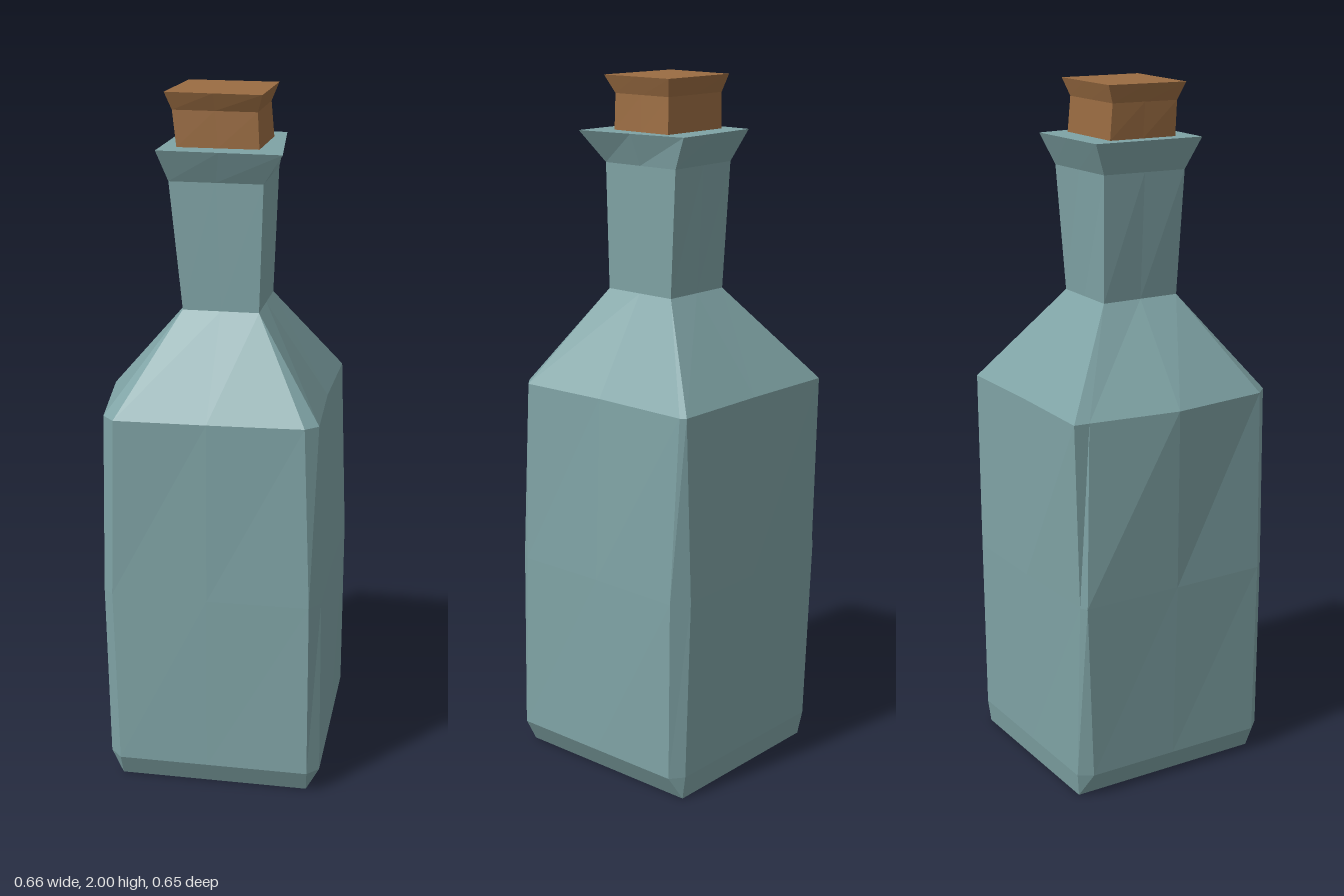
import * as THREE from 'three';

// Square section: each corner doubled, plus the middle of each side (12 points)
function square(corners) {
  return corners.flatMap((c, i) => {
    const n = corners[(i + 1) % 4];
    return [c, c, [(c[0] + n[0]) / 2, (c[1] + n[1]) / 2]];
  });
}

// Joins stacked sections [y, [[x, z], ...]] into a closed, faceted solid.
// Sections run back left, back right, front right, front left.
function loft(sections) {
  const rings = sections.map(([y, pts]) => pts.map(([x, z]) => new THREE.Vector3(x, y, z)));
  const positions = [];
  const tri = (a, b, c) => {
    const area = b.clone().sub(a).cross(c.clone().sub(a)).length();
    if (area > 1e-7) for (const p of [a, b, c]) positions.push(p.x, p.y, p.z);
  };
  const middle = (ring) => ring.reduce((s, p) => s.add(p), new THREE.Vector3()).divideScalar(ring.length);
  const bottom = rings[0], top = rings[rings.length - 1];
  const n = bottom.length, low = middle(bottom), high = middle(top);
  for (let i = 0; i < n; i++) {
    const j = (i + 1) % n;
    for (let r = 0; r + 1 < rings.length; r++) {
      const l = rings[r], u = rings[r + 1];
      tri(l[j], l[i], u[i]);
      tri(l[j], u[i], u[j]);
    }
    tri(low, bottom[i], bottom[j]);
    tri(high, top[j], top[i]);
  }
  const geometry = new THREE.BufferGeometry();
  geometry.setAttribute('position', new THREE.Float32BufferAttribute(positions, 3));
  geometry.computeVertexNormals();
  return geometry;
}

export function createModel() {
  const model = new THREE.Group();
  model.name = 'corkedBottle';

  const addPart = (name, color, sections) => {
    const material = new THREE.MeshStandardMaterial({ color, flatShading: true });
    const mesh = new THREE.Mesh(loft(sections), material);
    mesh.name = name;
    model.add(mesh);
  };

  // Bottle: uneven body with cut corners, sloping shoulder, neck and flared lip
  addPart('glassBottle', 0x7fa3a5, [
    [0, square([[-0.26, -0.3], [0.29, -0.3], [0.29, 0.29], [-0.26, 0.29]])],
    [0.07, [
      [-0.295, -0.27], [-0.27, -0.31], [0, -0.31],
      [0.29, -0.31], [0.328, -0.28], [0.328, 0],
      [0.328, 0.288], [0.295, 0.323], [0, 0.323],
      [-0.26, 0.323], [-0.295, 0.285], [-0.295, 0],
    ]],
    [0.6, [
      [-0.316, -0.3], [-0.295, -0.312], [0, -0.32],
      [0.28, -0.32], [0.328, -0.285], [0.32, 0],
      [0.322, 0.275], [0.292, 0.316], [0, 0.32],
      [-0.275, 0.316], [-0.305, 0.285], [-0.312, 0],
    ]],
    [1.13, [
      [-0.297, -0.28], [-0.293, -0.325], [0, -0.316],
      [0.295, -0.316], [0.306, -0.3], [0.297, 0],
      [0.306, 0.27], [0.27, 0.302], [0, 0.315],
      [-0.26, 0.322], [-0.295, 0.285], [-0.33, -0.01],
    ]],
    [1.4, square([[-0.1, -0.115], [0.12, -0.11], [0.115, 0.125], [-0.1, 0.125]])],
    [1.76, square([[-0.12, -0.125], [0.13, -0.135], [0.125, 0.125], [-0.137, 0.125]])],
    [1.85, square([[-0.148, -0.167], [0.146, -0.177], [0.183, 0.173], [-0.165, 0.163]])],
  ]);

  // Cork: stopper set into the neck, with a wider head
  addPart('cork', 0x9a6c42, [
    [1.76, square([[-0.1, -0.09], [0.115, -0.09], [0.1, 0.1], [-0.1, 0.1]])],
    [1.85, square([[-0.11, -0.1], [0.12, -0.1], [0.11, 0.105], [-0.118, 0.105]])],
    [1.95, square([[-0.115, -0.095], [0.112, -0.095], [0.105, 0.105], [-0.13, 0.102]])],
    [2, square([[-0.125, -0.113], [0.131, -0.111], [0.121, 0.133], [-0.148, 0.12]])],
  ]);

  return model;
}
